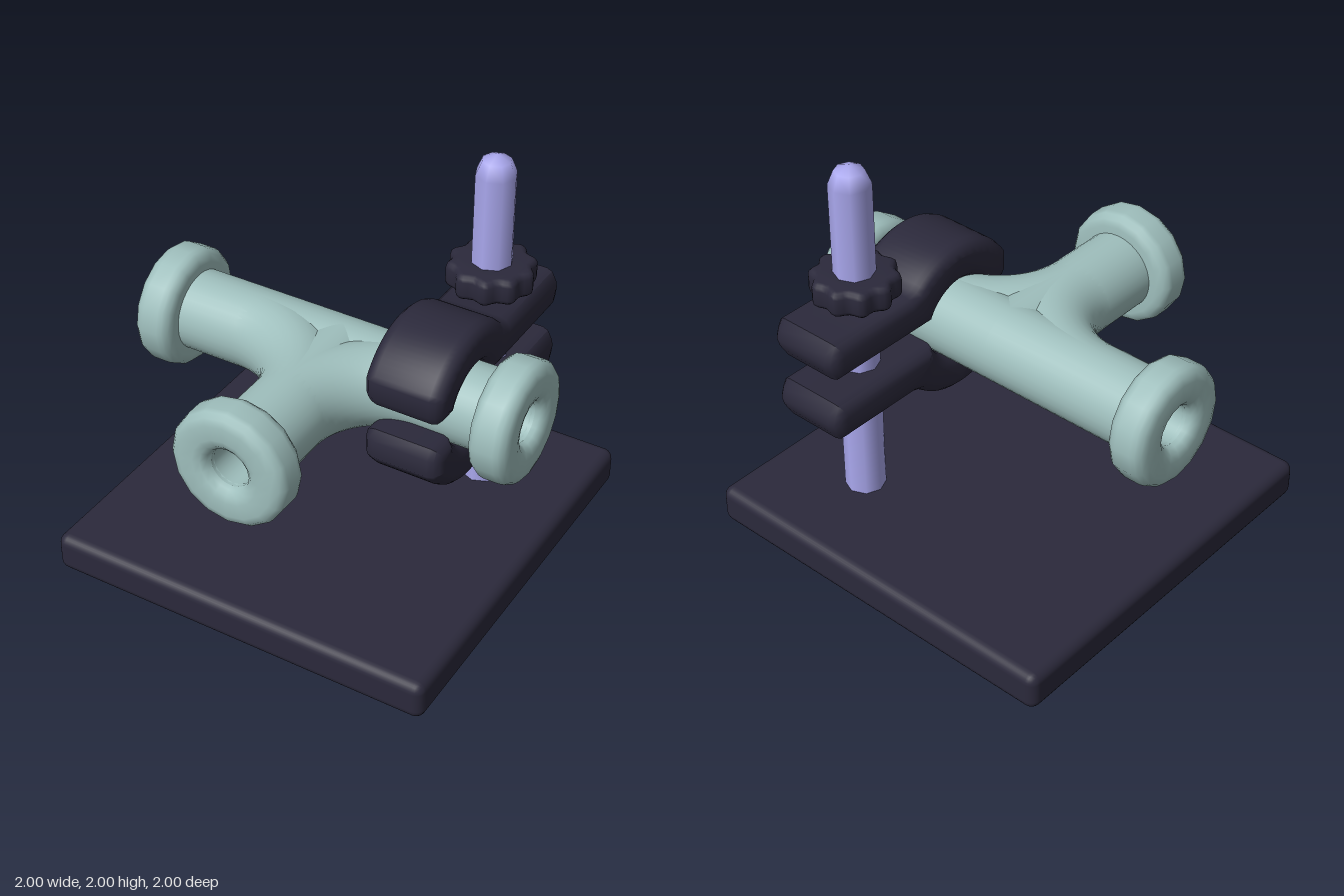
import * as THREE from 'three';
import { toCreasedNormals } from 'three/addons/utils/BufferGeometryUtils.js';
import { RoundedBoxGeometry } from 'three/addons/geometries/RoundedBoxGeometry.js';
import { ParametricGeometry } from 'three/addons/geometries/ParametricGeometry.js';

const dark = new THREE.MeshStandardMaterial({ color: 0x2b293b });
const pale = new THREE.MeshStandardMaterial({ color: 0x9fbfbd });
const lilac = new THREE.MeshStandardMaterial({ color: 0xaaa8ee });

function add(parent, name, geometry, material) {
  const mesh = new THREE.Mesh(geometry, material);
  mesh.name = name;
  parent.add(mesh);
  return mesh;
}

const lathe = (points, segments) =>
  new THREE.LatheGeometry(points.map(([r, y]) => new THREE.Vector2(r, y)), segments);

// Shape a pipe's inner end so that the three arms meet along mitred seams
function mitre(geometry, rule) {
  const p = geometry.attributes.position;
  for (let i = 0; i < p.count; i++) {
    if (p.getY(i) === 0) p.setY(i, rule(p.getX(i)));
  }
  return geometry;
}

// One hollow arm with its rounded end flange, pointing along +z
function pipeArm(name, rule) {
  const arm = new THREE.Group();
  arm.name = name;
  const flange = [[0.18, 0.8], [0.24, 0.8], [0.275, 0.81], [0.295, 0.835], [0.3, 0.86],
    [0.3, 0.94], [0.295, 0.965], [0.275, 0.988], [0.24, 1], [0.17, 1],
    [0.135, 0.99], [0.11, 0.97], [0.1, 0.93]];
  add(arm, 'pipeWall', mitre(lathe([[0.2, 0], [0.2, 0.82]], 32), rule), pale);
  add(arm, 'pipeBore', mitre(lathe([[0.1, 0.95], [0.1, 0]], 32), rule), pale);
  add(arm, 'flange', lathe(flange, 16), pale);
  arm.children.forEach((m) => m.geometry.rotateX(Math.PI / 2));
  return arm;
}

// Quarter-bend blend between the main pipe and the branch
function elbow(side) {
  return new ParametricGeometry((u, v, target) => {
    const a = u * Math.PI / 2;
    const t = (v - 0.5) * Math.PI * 5 / 3;
    const d = 0.5 - 0.2 * Math.cos(t);
    target.set(side * (0.5 - d * Math.cos(a)), side * 0.2 * Math.sin(t), 0.5 - d * Math.sin(a));
  }, 16, 24);
}

// Bevelled solid whose outline and thickness include the bevel, centred on z
function bevelled(shape, thickness, bevel, curveSegments) {
  const geometry = new THREE.ExtrudeGeometry(shape, {
    depth: thickness - 2 * bevel, bevelThickness: bevel, bevelSize: bevel,
    bevelOffset: -bevel, bevelSegments: 3, curveSegments,
  });
  geometry.translate(0, 0, bevel - thickness / 2);
  return toCreasedNormals(geometry, 0.9);
}

// Jaw: a curved saddle over the pipe with a straight arm to the rod
function jawGeometry() {
  const s = new THREE.Shape();
  s.moveTo(0.21, 0.07);
  s.lineTo(0.31, 0.07);
  s.lineTo(0.34, 0.12);
  s.lineTo(0.34, 0.2);
  s.absarc(0, 0, 0.4, 0.55, 2.35, false);
  s.lineTo(-0.33, 0.27);
  s.lineTo(-0.81, 0.27);
  s.lineTo(-0.84, 0.22);
  s.lineTo(-0.855, 0.17);
  s.lineTo(-0.84, 0.12);
  s.lineTo(-0.81, 0.07);
  s.lineTo(-0.21, 0.07);
  s.absarc(0, 0, 0.2, Math.PI - 0.36, 0.36, true);
  return bevelled(s, 0.4, 0.06, 12).rotateY(-Math.PI / 2);
}

// Knob: a disc with shallow scallops around its rim
function knobGeometry() {
  const points = [];
  for (let i = 0; i < 60; i++) {
    const a = i / 60 * Math.PI * 2;
    const r = 0.202 + 0.013 * Math.cos(10 * a);
    points.push(new THREE.Vector2(r * Math.cos(a), r * Math.sin(a)));
  }
  return bevelled(new THREE.Shape(points), 0.13, 0.03, 1).rotateX(-Math.PI / 2);
}

export function createModel() {
  const model = new THREE.Group();
  model.name = 'clampedPipeStand';

  // Base plate and upright rod
  add(model, 'basePlate', new RoundedBoxGeometry(2, 0.2, 2, 3, 0.05), dark).position.y = 0.1;
  add(model, 'rod', new THREE.CapsuleGeometry(0.1, 1.7, 2, 8), lilac).position.set(0.5, 1.05, -0.5);

  // Hollow tee pipe
  const tee = new THREE.Group();
  tee.name = 'teePipe';
  tee.position.y = 1;
  model.add(tee);
  const left = pipeArm('leftArm', (x) => Math.max(0, -x));
  left.rotation.y = Math.PI / 2;
  const right = pipeArm('rightArm', (x) => Math.max(0, x));
  right.rotation.y = -Math.PI / 2;
  tee.add(left, right, pipeArm('frontBranch', Math.abs));
  add(tee, 'leftElbow', elbow(1), pale);
  add(tee, 'rightElbow', elbow(-1), pale);

  // Clamp jaws, the lower one turned over, and the tightening knob
  const jaw = jawGeometry();
  add(model, 'upperJaw', jaw, dark).position.set(0.5, 1, 0);
  const lower = add(model, 'lowerJaw', jaw, dark);
  lower.position.set(0.5, 1, 0);
  lower.rotation.z = Math.PI;
  add(model, 'clampKnob', knobGeometry(), dark).position.set(0.5, 1.375, -0.5);

  return model;
}
